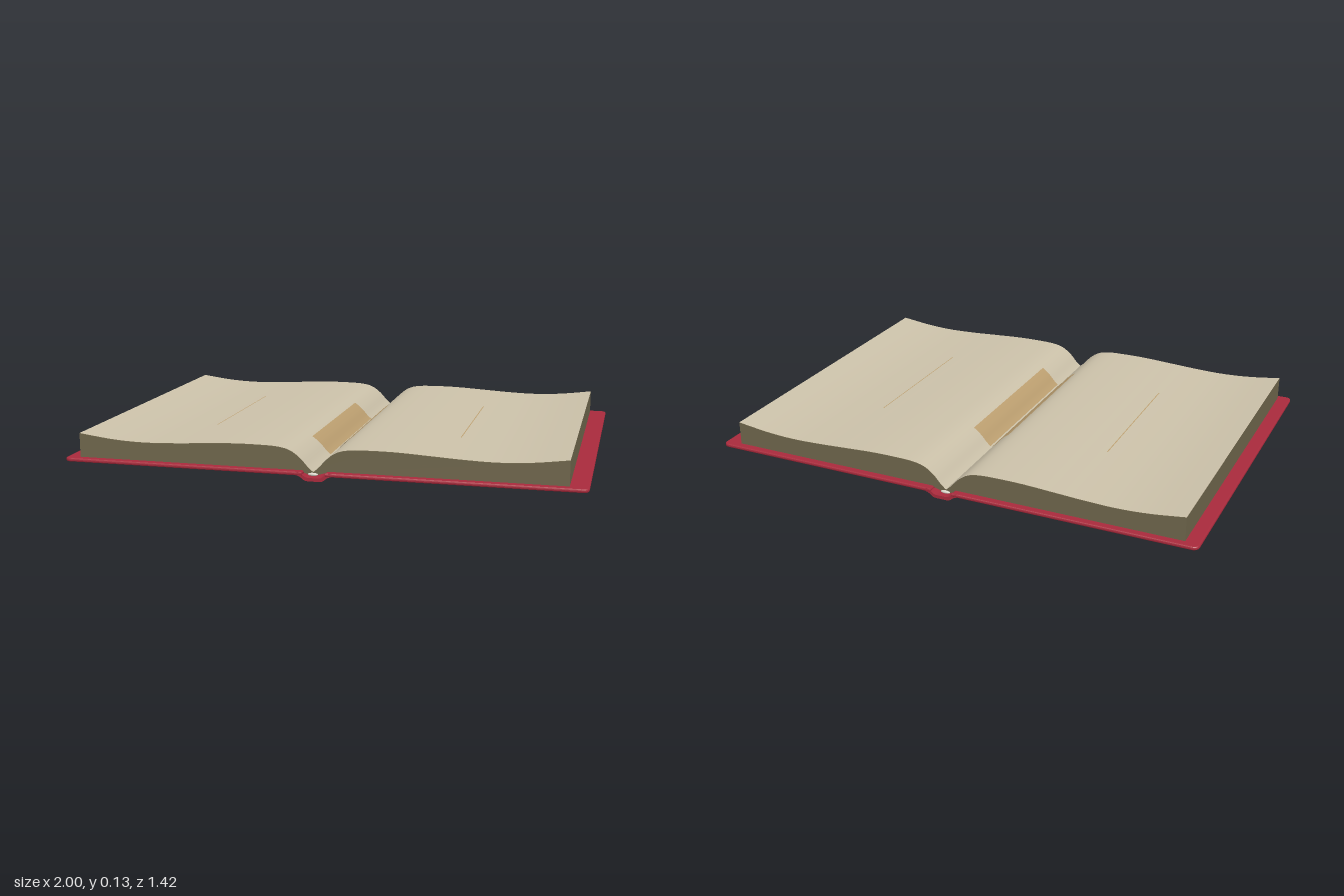
import * as THREE from 'three';

const mat = (name, color, side = THREE.FrontSide) => {
  const m = new THREE.MeshStandardMaterial({ color, side });
  m.name = name;
  return m;
};

// Page surface height by distance from the gutter
const pageCurve = new THREE.SplineCurve([
  [0, 0.028], [0.02, 0.045], [0.05, 0.078], [0.09, 0.106], [0.14, 0.118], [0.22, 0.121],
  [0.32, 0.12], [0.45, 0.113], [0.56, 0.107], [0.68, 0.104], [0.8, 0.11], [0.9375, 0.127],
].map(([x, y]) => new THREE.Vector2(x, y)));
const samples = pageCurve.getPoints(88);
const pageHeight = (x) => {
  const i = Math.max(1, samples.findIndex((p) => p.x >= x - 1e-6));
  const a = samples[i - 1], b = samples[i];
  return THREE.MathUtils.mapLinear(x, a.x, b.x, a.y, b.y);
};

export function createModel() {
  const book = new THREE.Group();
  book.name = 'openBook';
  const cover = mat('coverRed', 0xa82a3c);
  const paper = mat('paperBeige', 0xcbc1a9, THREE.DoubleSide);
  const edges = mat('pageEdgeOlive', 0x6f664c);
  const tan = mat('tanStrip', 0xbc9f70, THREE.DoubleSide);
  const band = mat('headbandCream', 0xd8d4c8);

  const add = (name, geometry, material, parent = book) => {
    const mesh = new THREE.Mesh(geometry, material);
    mesh.name = name;
    parent.add(mesh);
    return mesh;
  };

  // Thin sheet draped over one page, between distances x0 and x1 from the gutter
  const drape = (s, x0, x1, z0, z1, lift, steps) => {
    const g = new THREE.PlaneGeometry(x1 - x0, z1 - z0, steps, 1);
    g.rotateX(-Math.PI / 2);
    g.translate(s * (x0 + x1) / 2, 0, (z0 + z1) / 2);
    const p = g.attributes.position;
    for (let i = 0; i < p.count; i++) {
      p.setY(i, pageHeight(Math.min(0.9375, Math.abs(p.getX(i)))) + lift);
    }
    g.computeVertexNormals();
    return g;
  };

  // Cover boards: outer corners rounded, edges bevelled
  const bevel = 0.006, inner = 0.05, outer = 1 - bevel, half = 0.708 - bevel, r = 0.02;
  for (const s of [1, -1]) {
    const plan = new THREE.Shape();
    plan.moveTo(s * inner, -half);
    plan.lineTo(s * (outer - r), -half);
    plan.quadraticCurveTo(s * outer, -half, s * outer, -half + r);
    plan.lineTo(s * outer, half - r);
    plan.quadraticCurveTo(s * outer, half, s * (outer - r), half);
    plan.lineTo(s * inner, half);
    const g = new THREE.ExtrudeGeometry(plan, {
      depth: 0.003, bevelEnabled: true, bevelThickness: bevel, bevelSize: bevel, bevelSegments: 3, curveSegments: 6,
    });
    g.rotateX(-Math.PI / 2);
    g.translate(0, 0.025, 0);
    add(s > 0 ? 'leftCoverBoard' : 'rightCoverBoard', g, cover);
  }

  // Spine: shallow trough below the boards
  const trough = new THREE.Shape();
  trough.moveTo(-0.065, 0.034);
  trough.lineTo(-0.065, 0.02);
  trough.bezierCurveTo(-0.045, 0.018, -0.045, 0, -0.02, 0);
  trough.lineTo(0.02, 0);
  trough.bezierCurveTo(0.045, 0, 0.045, 0.018, 0.065, 0.02);
  trough.lineTo(0.065, 0.034);
  trough.bezierCurveTo(0.045, 0.032, 0.04, 0.014, 0.02, 0.013);
  trough.lineTo(-0.02, 0.013);
  trough.bezierCurveTo(-0.04, 0.014, -0.045, 0.032, -0.065, 0.034);
  const spine = new THREE.ExtrudeGeometry(trough, { depth: 1.414, bevelEnabled: false, curveSegments: 10 });
  spine.translate(0, 0, -0.707);
  add('spine', spine, cover);

  // Page blocks with draped top sheets and tan details
  const pages = new THREE.Group();
  pages.name = 'pages';
  pages.position.x = -0.0075;
  book.add(pages);
  for (const s of [1, -1]) {
    const side = s > 0 ? 'left' : 'right';
    const section = new THREE.Shape([
      ...samples.map((p) => new THREE.Vector2(s * p.x, p.y)),
      new THREE.Vector2(s * 0.9375, 0.032),
      new THREE.Vector2(s * 0.06, 0.032),
      new THREE.Vector2(0, 0.014),
    ]);
    const block = new THREE.ExtrudeGeometry(section, { depth: 1.36, bevelEnabled: false });
    block.translate(0, 0, -0.68);
    add(side + 'PageBlock', block, edges, pages);
    add(side + 'TopPage', drape(s, 0, 0.9375, -0.68, 0.68, 0.0015, 120), paper, pages);
    add(side + 'GutterStrip', drape(s, 0.004, 0.078, -0.285, 0.415, 0.004, 16), tan, pages);
    add(side + 'PageLine', drape(s, 0.496, 0.5, -0.29, 0.34, 0.003, 1), tan, pages);
  }

  // Headbands at both ends of the gutter
  for (const z of [-0.685, 0.685]) {
    const g = new THREE.SphereGeometry(1, 16, 8);
    g.scale(0.02, 0.006, 0.007);
    g.translate(-0.0075, 0.022, z);
    add('headband', g, band);
  }
  return book;
}
